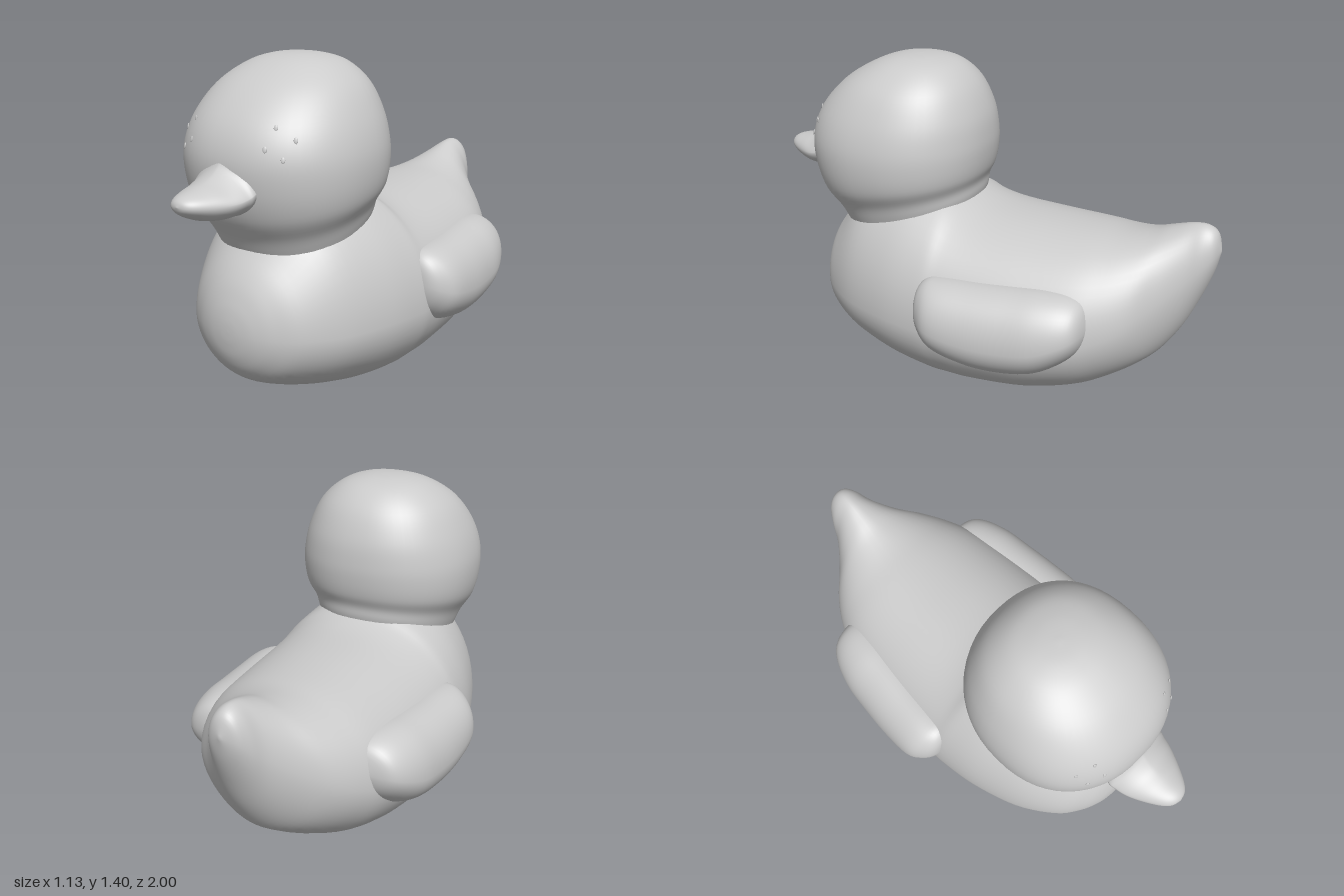
import * as THREE from 'three';
import { mergeVertices } from 'three/addons/utils/BufferGeometryUtils.js';

const material = new THREE.MeshStandardMaterial({ color: 0xcccccc, side: THREE.DoubleSide });

// Smooth value between rows of numbers (Catmull-Rom in every column)
function sampleRows(rows, t) {
  const last = rows.length - 1;
  const i = Math.min(Math.floor(t), last - 1), f = t - i;
  const [a, b, c, d] = [i - 1, i, i + 1, i + 2].map(k => rows[THREE.MathUtils.clamp(k, 0, last)]);
  return b.map((p, k) => p + 0.5 * f * (c[k] - a[k]
    + f * (2 * a[k] - 5 * p + 4 * c[k] - d[k] + f * (3 * (p - c[k]) + d[k] - a[k]))));
}

// Closed skin over rings; place(row, cos, sin) gives a point of the ring
function loft(name, rows, place, steps = 5, sides = 56) {
  const pos = [], index = [];
  const rings = (rows.length - 1) * steps;
  for (let i = 0; i <= rings; i++) {
    const row = sampleRows(rows, i / steps);
    for (let j = 0; j < sides; j++) {
      const t = (j / sides) * Math.PI * 2;
      pos.push(...place(row, Math.cos(t), Math.sin(t)));
      if (i === rings) continue;
      const a = i * sides + j, b = i * sides + (j + 1) % sides;
      index.push(a, a + sides, b, b, a + sides, b + sides);
    }
  }
  let geo = new THREE.BufferGeometry();
  geo.setAttribute('position', new THREE.Float32BufferAttribute(pos, 3));
  geo.setIndex(index);
  geo = mergeVertices(geo, 1e-5);
  geo.computeVertexNormals();
  const mesh = new THREE.Mesh(geo, material);
  mesh.name = name;
  return mesh;
}

const power = (v, n) => Math.sign(v) * Math.pow(Math.abs(v), 2 / n);

// Upright section: row = [z, bottom, widest height, top, half width, upper roundness, centre x]
const upright = (under, side = 1) => ([z, bottom, mid, top, w, n, cx = 0], c, s) => {
  const m = s > 0 ? n : under;
  return [cx * side + w * power(c, m), mid + power(s, m) * (s > 0 ? top - mid : mid - bottom), z];
};

// Level section: row = [y, centre z, half depth, half width, forward tilt]
const HEAD_ROUND = 2.2;
const level = ([y, cz, d, w, tilt], c, s) => {
  const dz = d * power(s, HEAD_ROUND);
  return [w * power(c, HEAD_ROUND), y - tilt * dz, cz + dz];
};

// The shoulders rise into the head, so the neck meets them in a soft crease
const bodyRows = [
  [0.772, 0.385, 0.385, 0.385, 0, 2], [0.769, 0.335, 0.383, 0.435, 0.05, 2], [0.755, 0.27, 0.38, 0.5, 0.115, 2],
  [0.72, 0.205, 0.375, 0.585, 0.19, 2], [0.65, 0.145, 0.37, 0.68, 0.278, 2], [0.5, 0.083, 0.365, 0.84, 0.375, 2],
  [0.3, 0.027, 0.365, 0.885, 0.44, 2], [0.13, 0.002, 0.36, 0.86, 0.465, 2.05], [0.04, 0, 0.36, 0.81, 0.468, 2.15],
  [-0.08, 0.002, 0.36, 0.783, 0.465, 2.2], [-0.3, 0.03, 0.37, 0.775, 0.45, 2.15], [-0.5, 0.09, 0.4, 0.775, 0.415, 2.1],
  [-0.62, 0.15, 0.435, 0.78, 0.365, 2], [-0.72, 0.215, 0.48, 0.8, 0.297, 1.85], [-0.8, 0.285, 0.535, 0.83, 0.207, 1.8],
  [-0.88, 0.41, 0.615, 0.856, 0.128, 1.8], [-0.94, 0.55, 0.69, 0.858, 0.09, 1.9], [-0.98, 0.665, 0.74, 0.83, 0.055, 2],
  [-1, 0.76, 0.76, 0.76, 0, 2],
];

const headRows = [
  [0.64, 0.345, 0.24, 0.24, 0.2], [0.69, 0.345, 0.28, 0.28, 0.24], [0.745, 0.347, 0.303, 0.303, 0.25],
  [0.8, 0.36, 0.322, 0.325, 0.22], [0.87, 0.378, 0.362, 0.367, 0.15], [0.96, 0.39, 0.386, 0.385, 0.08],
  [1.06, 0.392, 0.39, 0.382, 0.02], [1.17, 0.377, 0.36, 0.35, 0], [1.28, 0.35, 0.285, 0.287, 0],
  [1.355, 0.325, 0.185, 0.195, 0], [1.387, 0.32, 0.09, 0.1, 0], [1.395, 0.32, 0, 0, 0],
];

const beakRows = [
  [1, 0.918, 0.918, 0.918, 0, 2], [0.99, 0.895, 0.915, 0.938, 0.035, 2], [0.96, 0.874, 0.912, 0.953, 0.066, 2],
  [0.9, 0.85, 0.908, 0.967, 0.102, 1.9], [0.84, 0.84, 0.91, 0.985, 0.13, 1.6], [0.79, 0.84, 0.92, 1.025, 0.143, 1.35],
  [0.75, 0.84, 0.935, 1.08, 0.145, 1.25], [0.65, 0.88, 0.95, 1.05, 0.1, 1.5],
];

const wingRows = [
  [0.115, 0.47, 0.47, 0.47, 0, 2, 0.42], [0.105, 0.4, 0.465, 0.55, 0.06, 2, 0.418], [0.07, 0.335, 0.445, 0.592, 0.115, 2, 0.41],
  [0, 0.285, 0.425, 0.603, 0.158, 2.1, 0.404], [-0.15, 0.25, 0.405, 0.607, 0.172, 2.1, 0.39],
  [-0.3, 0.25, 0.405, 0.615, 0.178, 2.1, 0.37], [-0.42, 0.28, 0.42, 0.62, 0.175, 2.1, 0.356],
  [-0.52, 0.345, 0.455, 0.61, 0.15, 2, 0.343], [-0.575, 0.41, 0.48, 0.575, 0.105, 2, 0.335], [-0.6, 0.49, 0.49, 0.49, 0, 2, 0.335],
];

export function createModel() {
  const model = new THREE.Group();
  model.name = 'toyDuck';
  model.add(loft('body', bodyRows, upright(1.95)));
  model.add(loft('head', headRows, level));
  model.add(loft('beak', beakRows, upright(1.9)));

  // Wings and the small eye marks, mirrored left and right
  const dot = new THREE.SphereGeometry(0.01, 10, 8);
  const marks = [[0.258, 1.125], [0.19, 1.165], [0.175, 1.095], [0.235, 1.06]];
  for (const side of [1, -1]) {
    const label = side > 0 ? 'left' : 'right';
    model.add(loft(label + 'Wing', wingRows, upright(1.95, side)));
    const eye = new THREE.Group();
    eye.name = label + 'Eye';
    for (const [x, y] of marks) {
      const [, cz, d, w] = sampleRows(headRows, 6 + (y - 1.06) / 0.11);
      const z = cz + d * Math.pow(1 - Math.pow(x / w, HEAD_ROUND), 1 / HEAD_ROUND);
      const mesh = new THREE.Mesh(dot, material);
      mesh.name = 'eyeMark';
      mesh.position.set(side * x, y, z);
      mesh.lookAt(side * x * 2, y + 0.1, z + 0.4);
      mesh.scale.set(0.8, 1.2, 0.3);
      eye.add(mesh);
    }
    model.add(eye);
  }
  return model;
}
